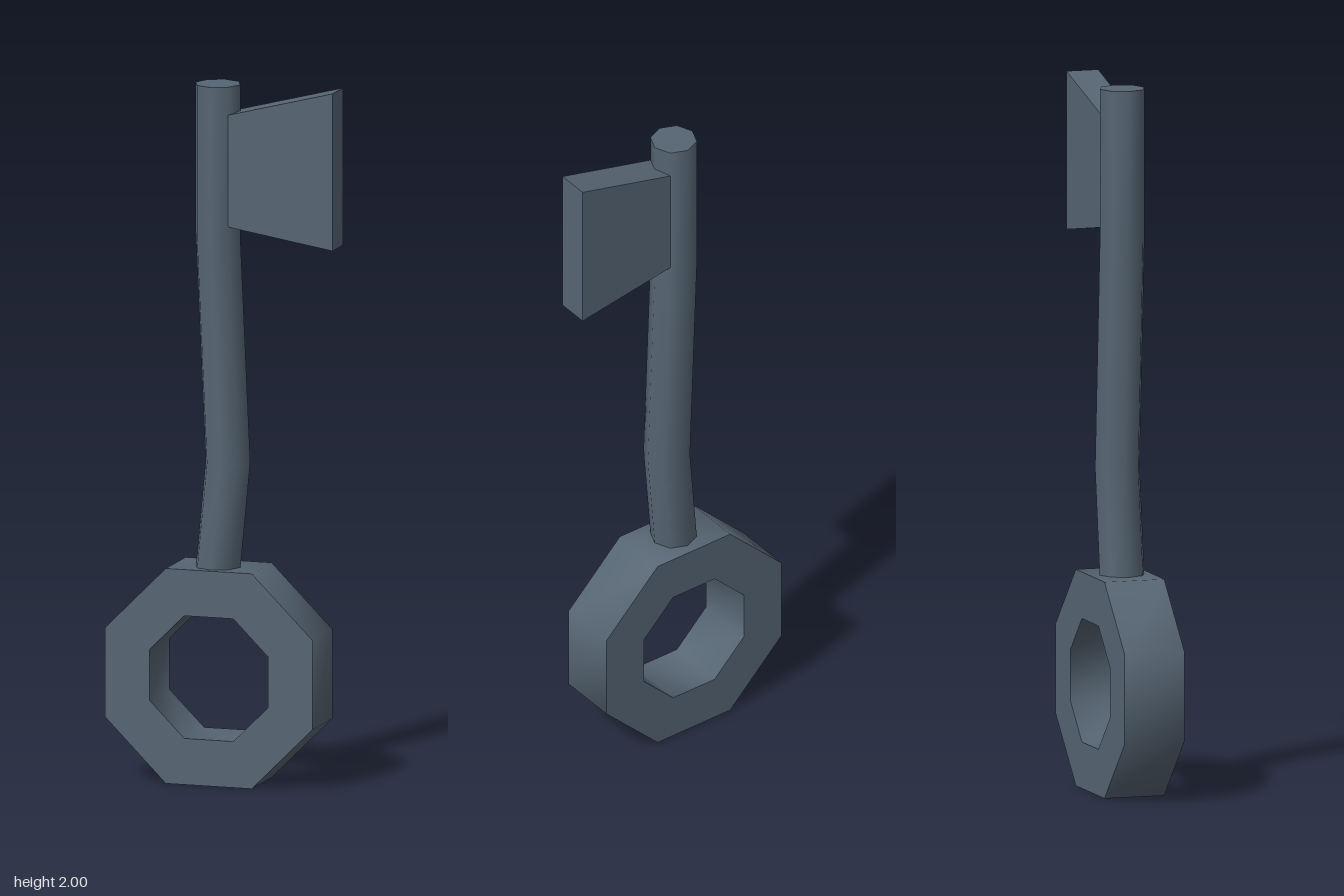
import * as THREE from 'three';
import { toCreasedNormals } from 'three/addons/utils/BufferGeometryUtils.js';

const material = new THREE.MeshStandardMaterial({ color: 0x566573 });

function addPart(group, name, geometry, crease) {
  const mesh = new THREE.Mesh(toCreasedNormals(geometry, crease), material);
  mesh.name = name;
  group.add(mesh);
}

// Points of an octagon with flat top and sides
function octagon(cx, cy, radius) {
  return Array.from({ length: 8 }, (_, i) => {
    const a = (i + 0.5) * Math.PI / 4;
    return new THREE.Vector2(cx + radius * Math.cos(a), cy + radius * Math.sin(a));
  });
}

// Flat outline extruded between two depths
function slab(shape, back, front) {
  return new THREE.ExtrudeGeometry(shape, { depth: front - back, bevelEnabled: false })
    .translate(0, 0, back);
}

export function createModel() {
  const group = new THREE.Group();
  group.name = 'key';

  // Octagonal ring handle, softly shaded around its rim
  const ring = new THREE.Shape(octagon(-0.025, 0.311, 0.333));
  ring.holes.push(new THREE.Path(octagon(-0.025, 0.311, 0.19)));
  addPart(group, 'ringHandle', slab(ring, -0.09, 0.087), 1);

  // Eight-sided shaft, bent slightly at each section [x, y, z], top first
  const sections = [[-0.025, 2, 0.005], [-0.025, 1.57, 0.005], [0.003, 0.92, 0], [-0.027, 0.59, 0.005]];
  const shaft = new THREE.CylinderGeometry(0.066, 0.066, 3, 8, 3);
  const pos = shaft.attributes.position;
  for (let i = 0; i < pos.count; i++) {
    const [x, y, z] = sections[Math.round(1.5 - pos.getY(i))];
    pos.setXYZ(i, pos.getX(i) + x, y, pos.getZ(i) + z);
  }
  addPart(group, 'shaft', shaft, 1);

  // Flared bit near the tip
  const bit = new THREE.Shape([[0.02, 1.6], [0.33, 1.55], [0.33, 2], [0.02, 1.92]]
    .map(([x, y]) => new THREE.Vector2(x, y)));
  addPart(group, 'bit', slab(bit, -0.042, 0.052), 0.5);

  return group;
}
